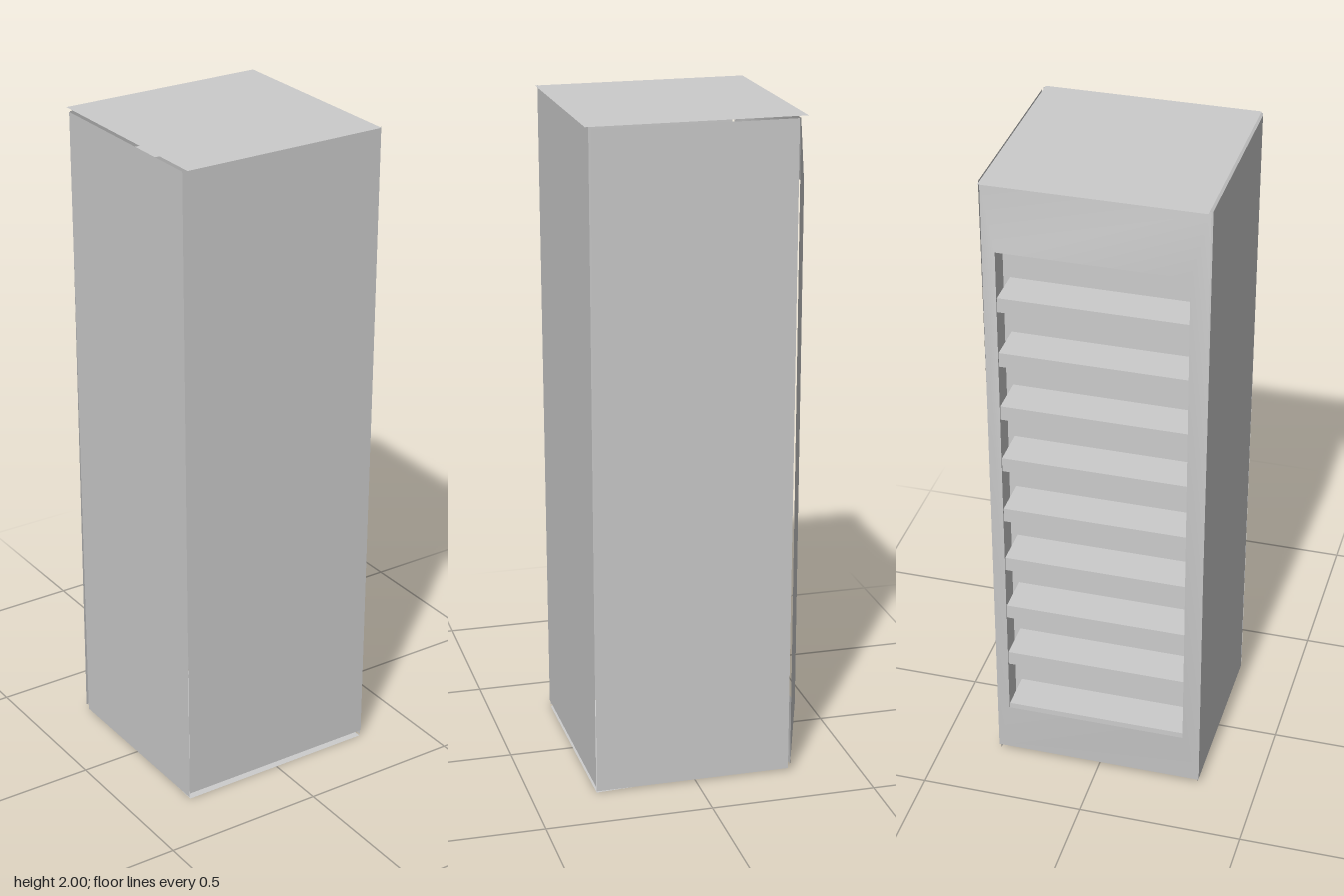
import * as THREE from 'three';

const material = new THREE.MeshStandardMaterial({ color: 0xcccccc, side: THREE.DoubleSide });

// Flat sheet from four corners, counter-clockwise seen from outside
function sheet(name, a, b, c, d) {
  const geo = new THREE.BufferGeometry();
  geo.setAttribute('position', new THREE.Float32BufferAttribute([...a, ...b, ...c, ...d], 3));
  geo.setIndex([0, 1, 2, 0, 2, 3]);
  geo.computeVertexNormals();
  const mesh = new THREE.Mesh(geo, material);
  mesh.name = name;
  return mesh;
}

// Four corners of a rectangle in the rear plane
const rect = (w, y0, y1, z) => [[w, y0, z], [-w, y0, z], [-w, y1, z], [w, y1, z]];

// Sloped rear surround joining an outer and an inner rectangle
function bezel(outer, inner) {
  const index = [];
  for (let i = 0; i < 4; i++) {
    const j = (i + 1) % 4;
    index.push(i, j, 4 + j, i, 4 + j, 4 + i);
  }
  const geo = new THREE.BufferGeometry();
  geo.setAttribute('position', new THREE.Float32BufferAttribute([...outer, ...inner].flat(), 3));
  geo.setIndex(index);
  geo.computeVertexNormals();
  const mesh = new THREE.Mesh(geo, material);
  mesh.name = 'rearBezel';
  return mesh;
}

export function createModel() {
  const group = new THREE.Group();
  group.name = 'shelfCabinet';

  // Outer panels, the sides leaning out slightly towards the top
  group.add(
    sheet('frontPanel', [-0.318, 0.02, 0.307], [0.318, 0.02, 0.307], [0.325, 2, 0.312], [-0.325, 2, 0.312]),
    sheet('leftPanel', [0.317, 0.005, 0.305], [0.317, 0.005, -0.29], [0.327, 1.995, -0.29], [0.327, 1.995, 0.305]),
    sheet('rightPanel', [-0.317, 0.005, -0.29], [-0.317, 0.005, 0.305], [-0.327, 1.995, 0.305], [-0.327, 1.995, -0.29]),
    sheet('topPanel', [-0.32, 2, 0.32], [0.32, 2, 0.32], [0.32, 2, -0.318], [-0.32, 2, -0.318]),
    sheet('bottomPanel', [-0.315, 0.02, -0.29], [0.315, 0.02, -0.29], [0.315, 0, 0.305], [-0.315, 0, 0.305]),
  );

  // Rear surround and the recessed wall behind the shelves
  group.add(bezel(rect(0.322, 0.02, 1.995, -0.295), rect(0.275, 0.2, 1.8, -0.322)));
  group.add(sheet('recessWall', ...rect(0.3, 0.15, 1.85, -0.18)));

  // Shelves, evenly spaced over the opening, from its sill to its head
  const bays = 9, pitch = 1.6 / bays;
  const shelfGeo = new THREE.BoxGeometry(0.56, 0.045, 0.122);
  for (let i = 0; i <= bays; i++) {
    const shelf = new THREE.Mesh(shelfGeo, material);
    shelf.name = 'shelf';
    shelf.position.set(0, 0.2 + i * pitch + (i === 0 ? -0.022 : i === bays ? 0.022 : 0), -0.241);
    group.add(shelf);
  }
  return group;
}
